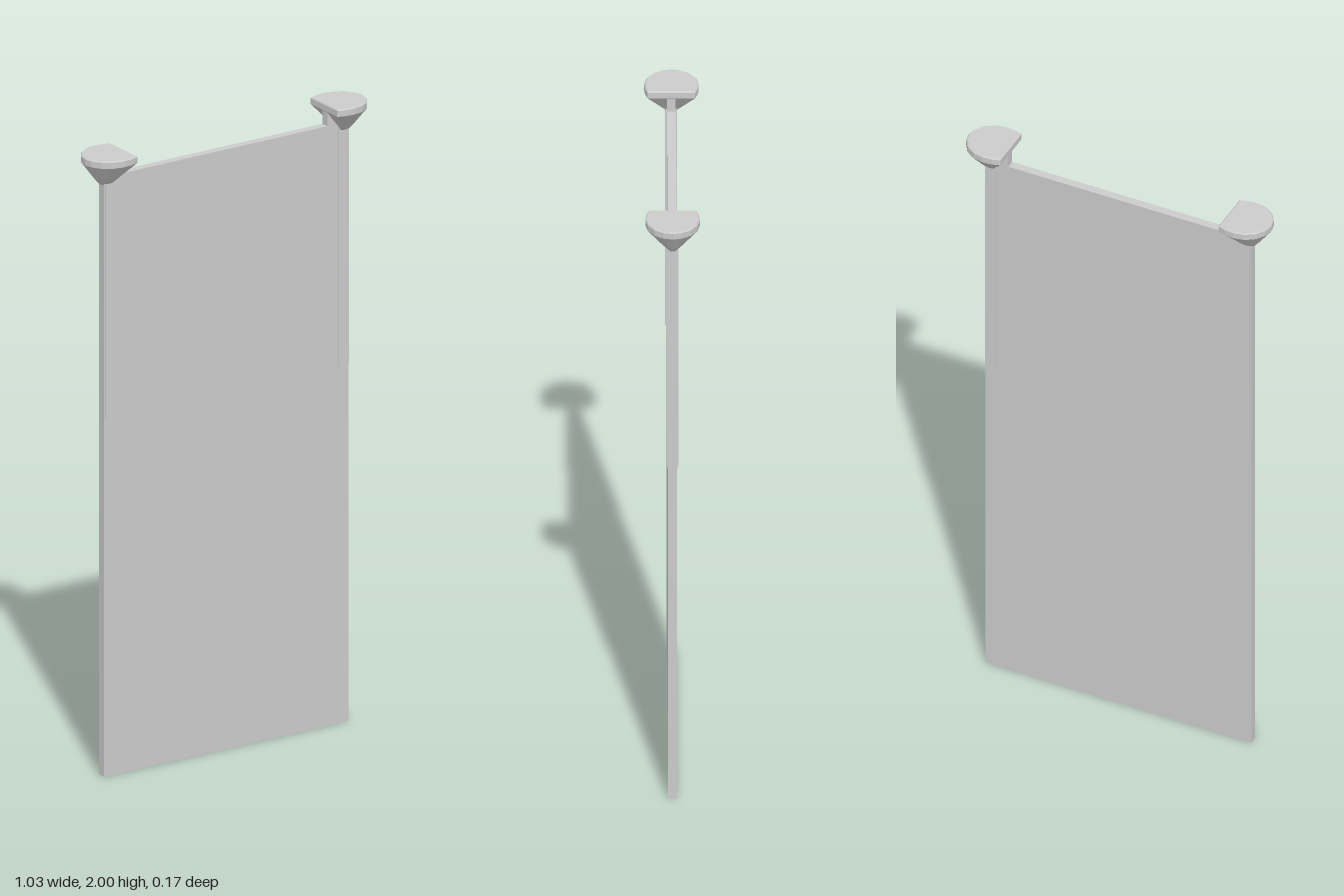
import * as THREE from 'three';

const material = new THREE.MeshStandardMaterial({ color: 0xcccccc, flatShading: true });

function box(name, x0, x1, y0, y1, z0, z1) {
  const mesh = new THREE.Mesh(new THREE.BoxGeometry(x1 - x0, y1 - y0, z1 - z0), material);
  mesh.position.set((x0 + x1) / 2, (y0 + y1) / 2, (z0 + z1) / 2);
  mesh.name = name;
  return mesh;
}

// D-shaped outline: u runs outward from the flat inner edge, v is depth
const half = [[0, 0.072], [0.025, 0.08], [0.055, 0.083], [0.09, 0.076], [0.12, 0.056], [0.138, 0.028]];
const outline = [...half, [0.144, 0], ...half.map(([u, v]) => [u, -v]).reverse()];

// Cap lofted through stacked D sections: [y, inner u, outer u, half depth]
function capGeometry() {
  const sections = [
    [1.905, 0.052, 0.09, 0.015],
    [1.922, 0.042, 0.104, 0.032],
    [1.977, 0, 0.144, 0.083],
    [1.996, 0, 0.144, 0.083],
    [2.0, 0.004, 0.14, 0.079],
  ];
  const n = outline.length, pos = [], idx = [];
  for (const [y, u0, u1, d] of sections)
    for (const [u, v] of outline) pos.push(u0 + (u / 0.144) * (u1 - u0), y, (v / 0.083) * d);
  for (let s = 0; s < sections.length - 1; s++)
    for (let i = 0; i < n; i++) {
      const a = s * n + i, b = s * n + (i + 1) % n;
      idx.push(a, b, b + n, a, b + n, a + n);
    }
  const top = (sections.length - 1) * n;
  for (let i = 1; i < n - 1; i++) {
    idx.push(0, i + 1, i);
    idx.push(top, top + i, top + i + 1);
  }
  const g = new THREE.BufferGeometry();
  g.setAttribute('position', new THREE.Float32BufferAttribute(pos, 3));
  g.setIndex(idx);
  const flat = g.toNonIndexed();
  flat.computeVertexNormals();
  return flat;
}

export function createModel() {
  const model = new THREE.Group();
  model.name = 'hangingPanel';

  // Tall thin sheet
  model.add(box('panel', -0.455, 0.445, 0, 1.93, -0.013, 0.014));

  // Edge rail, neck and cap at each upper corner
  const geometry = capGeometry();
  for (const side of [-1, 1]) {
    const corner = new THREE.Group();
    corner.name = side > 0 ? 'leftCorner' : 'rightCorner';
    const cap = new THREE.Mesh(geometry, material);
    cap.name = 'cap';
    cap.position.x = side * 0.369;
    if (side < 0) cap.rotation.y = Math.PI;
    corner.add(cap);
    const span = (a, b) => [Math.min(side * a, side * b), Math.max(side * a, side * b)];
    corner.add(box('neck', ...span(0.372, 0.448), 1.9, 1.98, -0.013, 0.013));
    corner.add(box('edgeRail', ...span(0.41, 0.449), 1.15, 1.915, -0.017, 0.017));
    corner.position.x = -0.004;
    model.add(corner);
  }
  return model;
}
